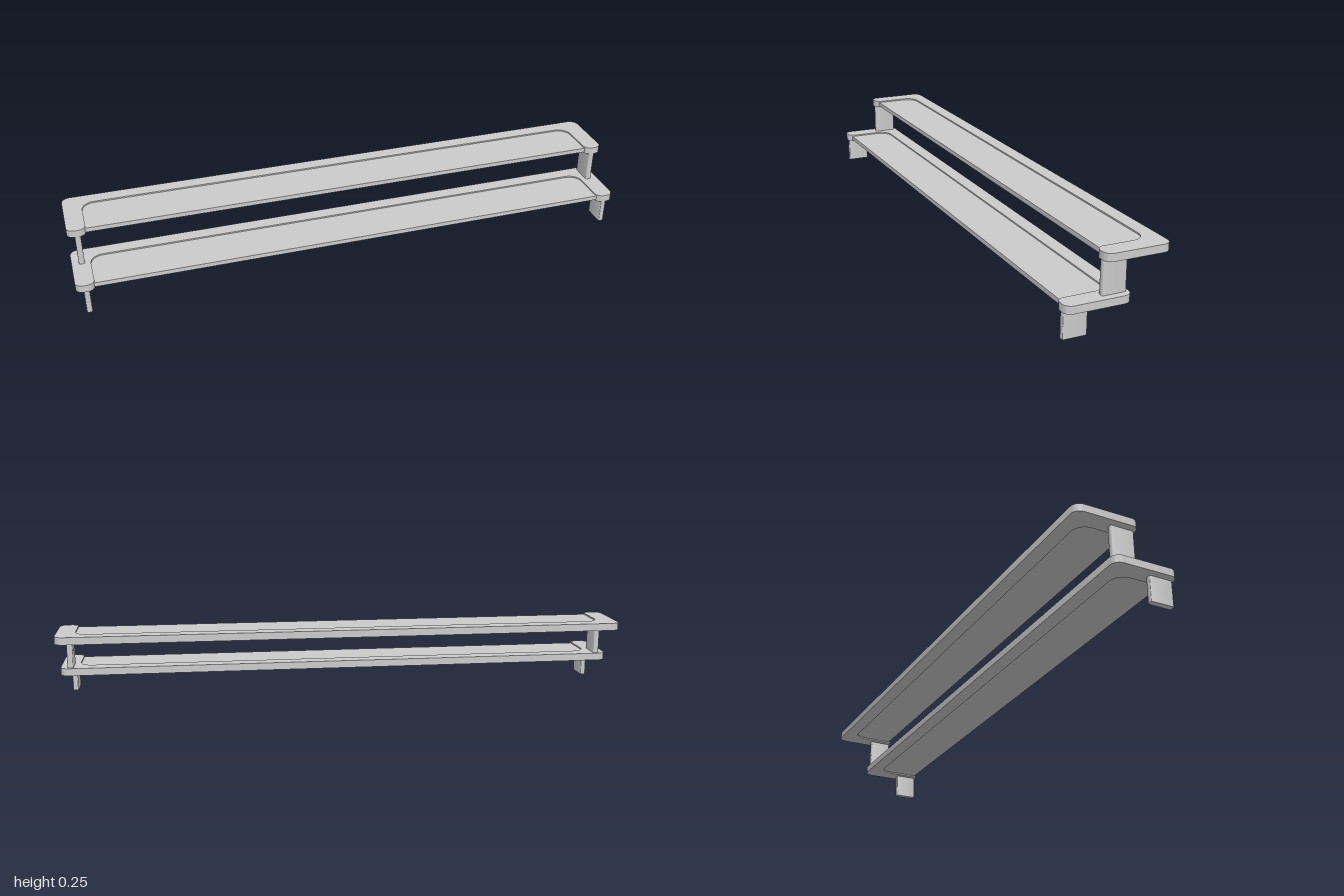
import * as THREE from 'three';
import { toCreasedNormals } from 'three/addons/utils/BufferGeometryUtils.js';

const material = new THREE.MeshStandardMaterial({ color: 0xcccccc });

// Polygon with rounded corners; points are [x, depth, radius]
function roundedShape(points) {
  const shape = new THREE.Shape();
  const n = points.length;
  points.forEach(([x, y, r], i) => {
    const corner = new THREE.Vector2(x, y);
    const toward = ([px, py]) =>
      new THREE.Vector2(px - x, py - y).normalize().multiplyScalar(r).add(corner);
    const a = toward(points[(i + n - 1) % n]);
    const b = toward(points[(i + 1) % n]);
    if (i === 0) shape.moveTo(a.x, a.y);
    else shape.lineTo(a.x, a.y);
    // cubic quarter arc
    const k = 0.5523;
    const c1 = a.clone().lerp(corner, k);
    const c2 = b.clone().lerp(corner, k);
    if (r > 0) shape.bezierCurveTo(c1.x, c1.y, c2.x, c2.y, b.x, b.y);
  });
  shape.closePath();
  return shape;
}

// Extrude a plan outline upwards from y0 to y1 (plan y becomes -z)
function slab(name, points, y0, y1) {
  let geometry = new THREE.ExtrudeGeometry(roundedShape(points), {
    depth: y1 - y0, bevelEnabled: false, curveSegments: 10,
  });
  geometry.rotateX(-Math.PI / 2);
  geometry.translate(0, y0, 0);
  geometry = toCreasedNormals(geometry, 0.6);
  const mesh = new THREE.Mesh(geometry, material);
  mesh.name = name;
  return mesh;
}

// One tier, placed by the z of its back edge and the y of its underside
function makeTier(name, backZ, bottomY, legBottomY) {
  const tier = new THREE.Group();
  tier.name = name;
  const depth = 0.223, height = 0.026, recess = 0.005;
  const back = -backZ, front = back - depth;
  const inner = 0.935, rail = back - 0.05;

  // U-shaped frame, open towards the front
  tier.add(slab('frame', [
    [-1, front, 0.026], [-inner, front, 0.026], [-inner, rail, 0.045],
    [inner, rail, 0.045], [inner, front, 0.026], [1, front, 0.026],
    [1, back, 0.03], [-1, back, 0.03],
  ], bottomY, bottomY + height));

  // Thinner panel set into the frame
  const panelFront = front + 0.014;
  tier.add(slab('panel', [
    [-inner - 0.02, panelFront, 0], [inner + 0.02, panelFront, 0],
    [inner + 0.02, rail + 0.01, 0.03], [-inner - 0.02, rail + 0.01, 0.03],
  ], bottomY + recess, bottomY + height - recess));

  // Flat legs below both front ends
  for (const side of [-1, 1]) {
    const x = side * 0.965, half = 0.01;
    const z0 = front + 0.004, z1 = front + 0.086;
    tier.add(slab(side > 0 ? 'leftLeg' : 'rightLeg', [
      [x - half, z0, 0.005], [x + half, z0, 0.005],
      [x + half, z1, 0.005], [x - half, z1, 0.005],
    ], legBottomY, bottomY));
  }
  return tier;
}

export function createModel() {
  const model = new THREE.Group();
  model.name = 'tieredShelf';
  model.add(makeTier('lowerTier', -0.048, 0.088, 0));
  model.add(makeTier('upperTier', -0.175, 0.227, 0.114));
  return model;
}
